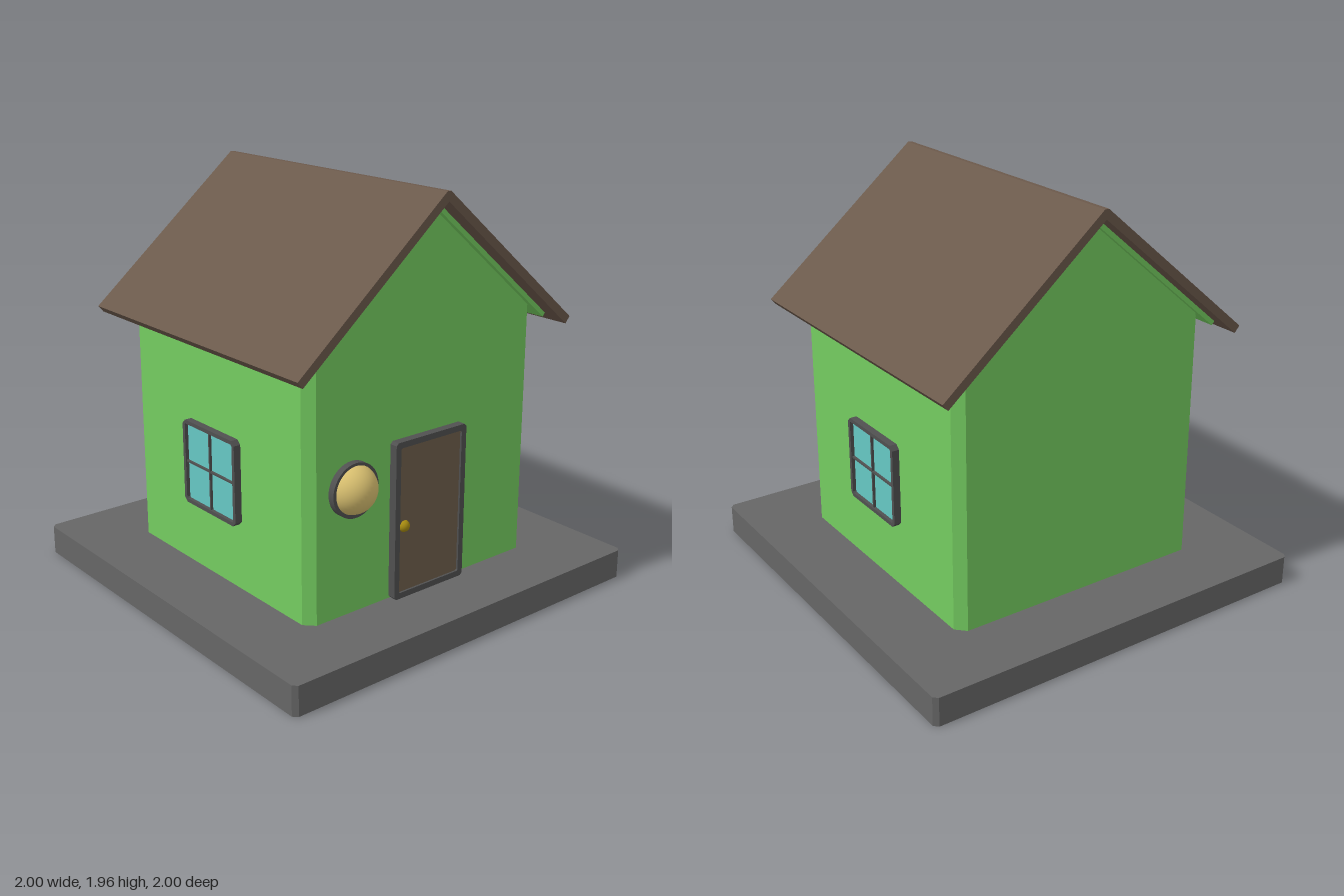
import * as THREE from 'three';

const GREEN = 0x74cc60, ROOF = 0x6b594b, STONE = 0x666666, FRAME = 0x505050;
const DOOR = 0x6d5e4a, GLASS = 0x66c8c4, GOLD = 0xd9c070, BRASS = 0xa88c10;
const SLOPE = 0.845, WALL = 0.665, FLOOR = 0.14;

function part(name, geometry, color, x = 0, y = 0, z = 0) {
  const material = new THREE.MeshStandardMaterial({ color });
  const mesh = new THREE.Mesh(geometry, material);
  mesh.name = name;
  mesh.position.set(x, y, z);
  return mesh;
}

// Rectangle centred on the origin with cut corners
function cutRect(w, h, c, Type = THREE.Shape) {
  const a = w / 2, b = h / 2;
  return new Type([[-a + c, -b], [a - c, -b], [a, -b + c], [a, b - c],
    [a - c, b], [-a + c, b], [-a, b - c], [-a, -b + c]].map(p => new THREE.Vector2(...p)));
}

const extrude = (shape, depth) => new THREE.ExtrudeGeometry(shape, { depth, bevelEnabled: false });

function frameGeometry(w, h, border, cut, depth) {
  const shape = cutRect(w, h, cut);
  shape.holes.push(cutRect(w - 2 * border, h - 2 * border, 0.006, THREE.Path));
  return extrude(shape, depth);
}

// Inverted V layer of even thickness, running along z
function gableLayer(peak, halfWidth, thickness, halfDepth, flat) {
  const n = Math.hypot(SLOPE, 1);
  const endY = peak - SLOPE * halfWidth;
  const inX = halfWidth - thickness * SLOPE / n, inY = endY - thickness / n;
  const top = peak - SLOPE * flat;
  const shape = new THREE.Shape([[0, peak - thickness * n], [inX, inY], [halfWidth, endY],
    [flat, top], [-flat, top], [-halfWidth, endY], [-inX, inY]].map(p => new THREE.Vector2(...p)));
  return extrude(shape, 2 * halfDepth).translate(0, 0, -halfDepth);
}

// Wall ring with cut corners, its top following the gable
function wallGeometry() {
  const c = 0.62, w = WALL;
  const loop = [[0, w], [c, w], [w, c], [w, -c], [c, -w], [0, -w], [-c, -w], [-w, -c], [-w, c], [-c, w]];
  const top = x => 1.905 - SLOPE * Math.abs(x);
  const pos = [];
  loop.forEach(([x0, z0], i) => {
    const [x1, z1] = loop[(i + 1) % loop.length];
    pos.push(x0, FLOOR, z0, x1, FLOOR, z1, x1, top(x1), z1);
    pos.push(x0, FLOOR, z0, x1, top(x1), z1, x0, top(x0), z0);
  });
  const g = new THREE.BufferGeometry();
  g.setAttribute('position', new THREE.Float32BufferAttribute(pos, 3));
  g.computeVertexNormals();
  return g;
}

// Four-pane window facing +z, its back on z = 0
function makeWindow(name) {
  const g = new THREE.Group();
  g.name = name;
  g.add(part('windowFrame', frameGeometry(0.405, 0.405, 0.018, 0.02, 0.045), FRAME, 0, 0, -0.01));
  g.add(part('windowGlass', new THREE.BoxGeometry(0.38, 0.38, 0.02), GLASS, 0, 0, 0.008));
  g.add(part('windowBarVertical', new THREE.BoxGeometry(0.008, 0.375, 0.02), FRAME, 0, 0, 0.02));
  g.add(part('windowBarHorizontal', new THREE.BoxGeometry(0.375, 0.008, 0.02), FRAME, 0, 0, 0.02));
  return g;
}

export function createModel() {
  const house = new THREE.Group();
  house.name = 'house';

  // Base slab
  const slab = extrude(cutRect(2, 2, 0.02), FLOOR).rotateX(-Math.PI / 2);
  house.add(part('baseSlab', slab, STONE));

  // Walls and roof
  house.add(part('walls', wallGeometry(), GREEN));
  house.add(part('roofTrim', gableLayer(1.913, 0.715, 0.022, 0.69, 0.002), GREEN));
  house.add(part('roof', gableLayer(1.967, 0.795, 0.04, 0.77, 0.01), ROOF));

  // Side windows
  for (const side of [1, -1]) {
    const win = makeWindow(side > 0 ? 'leftWindow' : 'rightWindow');
    win.position.set(side * WALL, 0.657, side * 0.013);
    win.rotation.y = side * Math.PI / 2;
    house.add(win);
  }

  // Front door
  const door = new THREE.Group();
  door.name = 'door';
  door.position.set(0, 0.5125, WALL);
  door.add(part('doorFrame', frameGeometry(0.42, 0.745, 0.028, 0.012, 0.05), FRAME, 0, 0, -0.01));
  door.add(part('doorPanel', new THREE.BoxGeometry(0.39, 0.69, 0.035), DOOR, 0, 0, 0.0125));
  door.add(part('doorKnob', new THREE.SphereGeometry(0.028, 24, 16), BRASS, -0.148, -0.03, 0.025));
  house.add(door);

  // Round wall lamp
  const rim = new THREE.CylinderGeometry(0.125, 0.125, 0.045, 40).rotateX(Math.PI / 2);
  house.add(part('lampRim', rim, FRAME, -0.43, 0.725, 0.675));
  house.add(part('lampGlobe', new THREE.SphereGeometry(0.114, 40, 24), GOLD, -0.43, 0.727, 0.667));

  return house;
}
